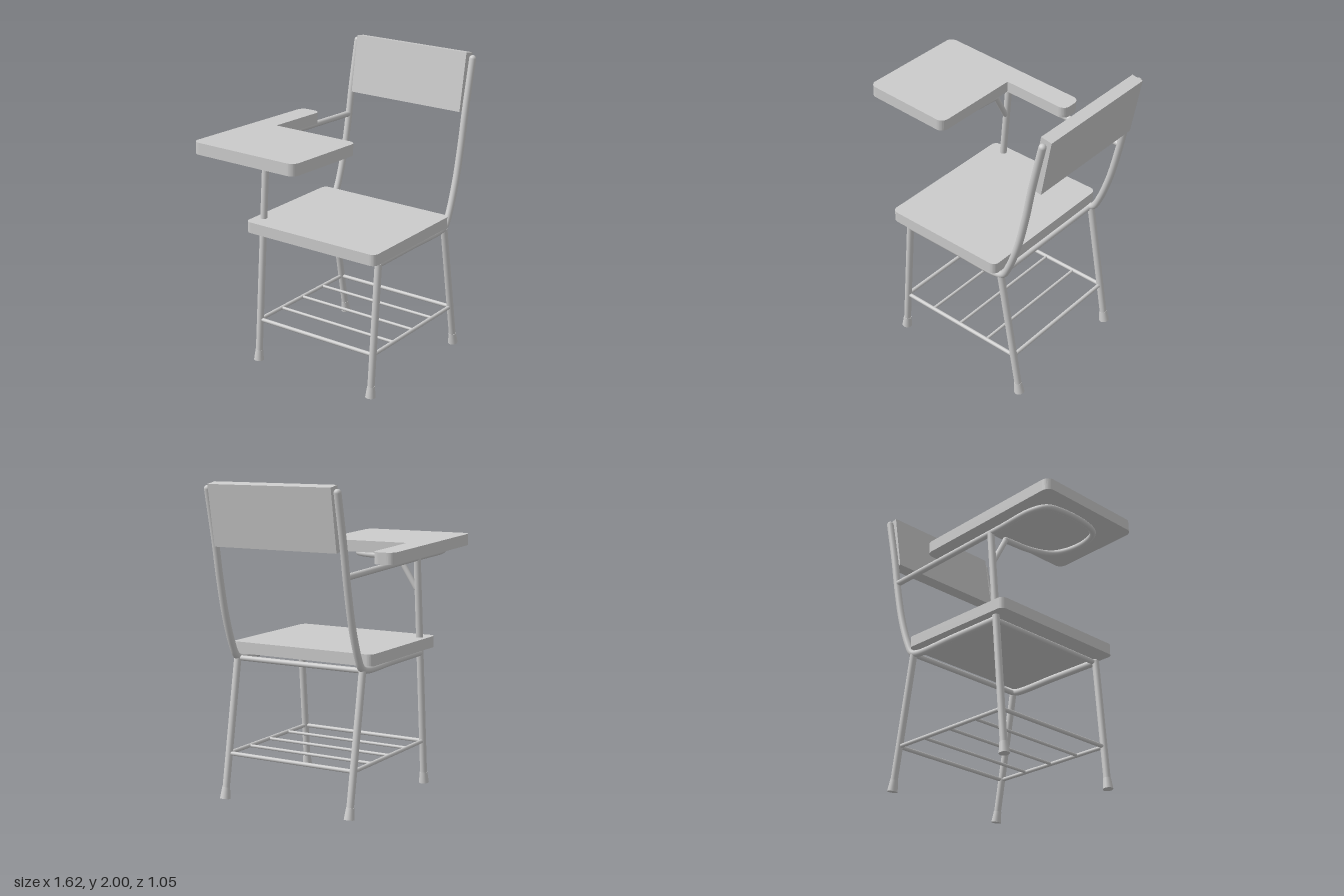
import * as THREE from 'three';

const mat = new THREE.MeshStandardMaterial({ color: 0xcccccc });
const V = (x, y, z) => new THREE.Vector3(x, y, z);
const UP = V(0, 1, 0);

function add(group, name, geometry) {
  const mesh = new THREE.Mesh(geometry, mat);
  mesh.name = name;
  group.add(mesh);
  return mesh;
}

// Straight round bar between two points
function bar(group, name, a, b, r0, r1 = r0) {
  const mesh = add(group, name, new THREE.CylinderGeometry(r1, r0, a.distanceTo(b), 20));
  mesh.position.copy(a).lerp(b, 0.5);
  mesh.quaternion.setFromUnitVectors(UP, b.clone().sub(a).normalize());
  return mesh;
}

// Bent tube through points, closed with round ends
function bentTube(group, name, points, r, segments = 64) {
  const curve = new THREE.CatmullRomCurve3(points, false, 'centripetal');
  add(group, name, new THREE.TubeGeometry(curve, segments, r, 16));
  for (const p of [points[0], points[points.length - 1]])
    add(group, name + 'End', new THREE.SphereGeometry(r, 16, 10)).position.copy(p);
}

// Flat board from an outline of [x, z, cornerRadius], extruded upwards
function board(outline, thickness) {
  const shape = new THREE.Shape();
  const n = outline.length;
  outline.forEach(([x, z, r], i) => {
    const c = new THREE.Vector2(x, -z);
    const toward = ([px, pz]) =>
      new THREE.Vector2(px, -pz).sub(c).normalize().multiplyScalar(r).add(c);
    const p = toward(outline[(i + n - 1) % n]), q = toward(outline[(i + 1) % n]);
    if (i === 0) shape.moveTo(p.x, p.y); else shape.lineTo(p.x, p.y);
    if (r > 0) {
      const k = 0.5523;
      const a = p.clone().lerp(c, k), b = q.clone().lerp(c, k);
      shape.bezierCurveTo(a.x, a.y, b.x, b.y, q.x, q.y);
    }
  });
  shape.closePath();
  const g = new THREE.ExtrudeGeometry(shape, { depth: thickness, bevelEnabled: false, curveSegments: 8 });
  return g.rotateX(-Math.PI / 2);
}

export function createModel() {
  const chair = new THREE.Group();
  chair.name = 'tabletArmChair';
  const zNear = 0.473, zFar = -0.43, R = 0.023;
  const frontX = y => -0.35 + y * 0.0833;
  const rearX = y => 0.635 - y * 0.18;

  // Side frames: seat rail bending up into the back post, plus both legs
  for (const z of [zNear, zFar]) {
    const side = new THREE.Group();
    side.name = z > 0 ? 'leftSideFrame' : 'rightSideFrame';
    chair.add(side);
    bentTube(side, 'railAndBackPost', [
      V(-0.27, 0.885, z), V(0.1, 0.885, z), V(0.44, 0.885, z), V(0.492, 0.905, z),
      V(0.535, 0.98, z), V(0.605, 1.18, z), V(0.66, 1.42, z), V(0.7, 1.64, z), V(0.768, 1.958, z),
    ], R, 90);

    const top = z > 0 ? 0.89 : 1.5;
    bar(side, 'frontLeg', V(frontX(0.03), 0.03, z), V(frontX(top), top, z), R);
    bar(side, 'rearLeg', V(rearX(0.03), 0.03, z), V(rearX(0.885), 0.885, z), R);
    for (const f of [frontX, rearX])
      bar(side, 'foot', V(f(0.006), 0.006, z), V(f(0.078), 0.078, z), 0.033, 0.025);
    bar(side, 'sideStretcher', V(frontX(0.29), 0.29, z), V(rearX(0.29), 0.29, z), 0.013);
  }

  // Crossbars under the seat
  for (const x of [-0.27, 0.465])
    bar(chair, 'seatCrossbar', V(x, 0.883, zFar), V(x, 0.883, zNear), 0.017);

  // Book rack rungs
  const x0 = frontX(0.29), x1 = rearX(0.29);
  for (let i = 0; i <= 4; i++) {
    const x = x0 + (x1 - x0) * i / 4;
    bar(chair, 'rackRung', V(x, 0.29, zFar), V(x, 0.29, zNear), i % 4 ? 0.01 : 0.013);
  }

  // Seat
  const s = 0.04;
  add(chair, 'seat', board([
    [-0.385, 0.52, s], [0.465, 0.52, s], [0.465, -0.487, s], [-0.385, -0.487, s],
  ], 0.073)).position.y = 0.912;

  // Backrest panel
  const back = add(chair, 'backrest', new THREE.BoxGeometry(0.076, 0.385, 0.855));
  back.position.set(0.74, 1.805, 0.018);
  back.rotation.z = -0.17;

  // L-shaped writing tablet, tilted slightly
  const t = 0.05;
  const tablet = add(chair, 'writingTablet', board([
    [-0.81, 0.245, t], [-0.19, 0.245, t], [-0.19, -0.375, 0],
    [0.274, -0.375, t], [0.274, -0.527, t], [-0.81, -0.527, t],
  ], 0.075));
  tablet.position.y = 1.513;
  tablet.rotation.z = -0.037;
  tablet.position.x = -0.055 + 0.0015;
  tablet.position.x = -0.002;

  // Arm tube looping under the tablet
  const loop = [
    [0.665, zFar], [0.2, zFar], [-0.3, zFar], [-0.58, zFar], [-0.67, -0.39], [-0.7, -0.29],
    [-0.7, -0.08], [-0.66, 0.04], [-0.56, 0.09], [-0.42, 0.09], [-0.31, 0.04],
    [-0.25, -0.08], [-0.225, -0.3],
  ].map(([x, z]) => V(x, 1.492 - 0.04 * x, z));
  bentTube(chair, 'armTube', loop, 0.02, 120);

  // Diagonal brace from the leg to the tablet
  bar(chair, 'tabletBrace', V(frontX(1.3), 1.3, -0.42), V(-0.225, 1.5, -0.3), 0.018);

  return chair;
}
